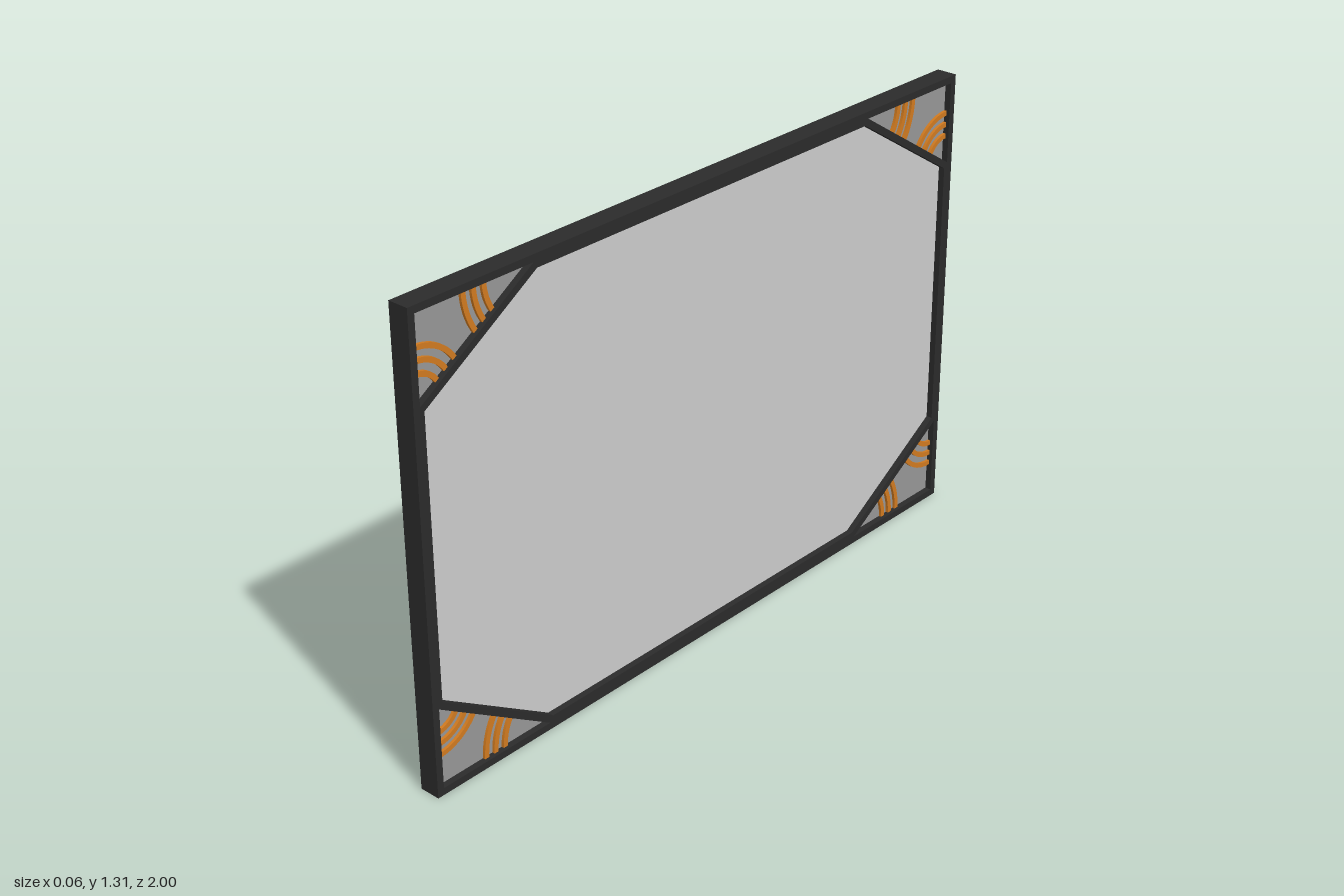
import * as THREE from 'three';

const MID = 0.655; // half the height, everything mirrors about it
const material = (color) => new THREE.MeshStandardMaterial({ color });
const toVectors = (points) => points.map(([z, y]) => new THREE.Vector2(z, y));

// Extrudes an outline drawn in (z, y) symmetrically about the x = 0 plane
function slab(name, outline, holes, thickness, mat) {
  const shape = new THREE.Shape(toVectors(outline));
  for (const hole of holes) shape.holes.push(new THREE.Path(toVectors(hole)));
  const geometry = new THREE.ExtrudeGeometry(shape, { depth: thickness, bevelEnabled: false });
  geometry.translate(0, 0, -thickness / 2);
  geometry.rotateY(-Math.PI / 2);
  geometry.translate(0, MID, 0);
  const mesh = new THREE.Mesh(geometry, mat);
  mesh.name = name;
  return mesh;
}

// Outline of a curved band between two angles
function band(cz, cy, radius, width, from, to) {
  const points = [];
  const steps = 12;
  for (const [r, a, b] of [[radius + width / 2, from, to], [radius - width / 2, to, from]]) {
    for (let i = 0; i <= steps; i++) {
      const t = a + ((b - a) * i) / steps;
      points.push([cz + r * Math.cos(t), cy + r * Math.sin(t)]);
    }
  }
  return points;
}

export function createModel() {
  const group = new THREE.Group();
  group.name = 'framedPanel';
  const dark = material(0x2b2b2b);
  const grey = material(0xcccccc);
  const cornerGrey = material(0x969696);
  const orange = material(0xd07a20);

  const quadrants = [[1, 1], [-1, 1], [-1, -1], [1, -1]];
  const flip = (points, [sz, sy]) => points.map(([z, y]) => [z * sz, y * sy]);

  // Eight-sided main opening and the triangular corner openings
  const octagon = quadrants.flatMap((q, i) => {
    const pair = flip([[0.968, 0.39], [0.605, 0.618]], q);
    return i % 2 ? pair.reverse() : pair;
  });
  const triangle = [[0.98, 0.405], [0.98, 0.635], [0.616, 0.635]];
  const triangles = quadrants.map((q) => flip(triangle, q));

  // Frame with diagonal braces
  const outer = quadrants.map(([sz, sy]) => [sz, sy * MID]);
  group.add(slab('frame', outer, [octagon, ...triangles], 0.06, dark));

  // Main pane
  group.add(slab('mainPane', octagon, [], 0.024, grey));

  // Corner panes, each with two sets of concentric bands
  const slope = Math.atan2(0.23, 0.364);
  quadrants.forEach((q, i) => {
    const corner = new THREE.Group();
    corner.name = `corner${i + 1}`;
    corner.add(slab('cornerPane', triangles[i], [], 0.024, cornerGrey));
    for (const r of [0.075, 0.108, 0.141]) {
      const outline = band(0.98, 0.405, r, 0.014, Math.PI / 2, Math.PI - slope);
      corner.add(slab('sideBand', flip(outline, q), [], 0.04, orange));
    }
    for (const r of [0.146, 0.178, 0.21]) {
      const outline = band(0.616, 0.635, r, 0.014, -slope, 0);
      corner.add(slab('edgeBand', flip(outline, q), [], 0.04, orange));
    }
    group.add(corner);
  });

  return group;
}
